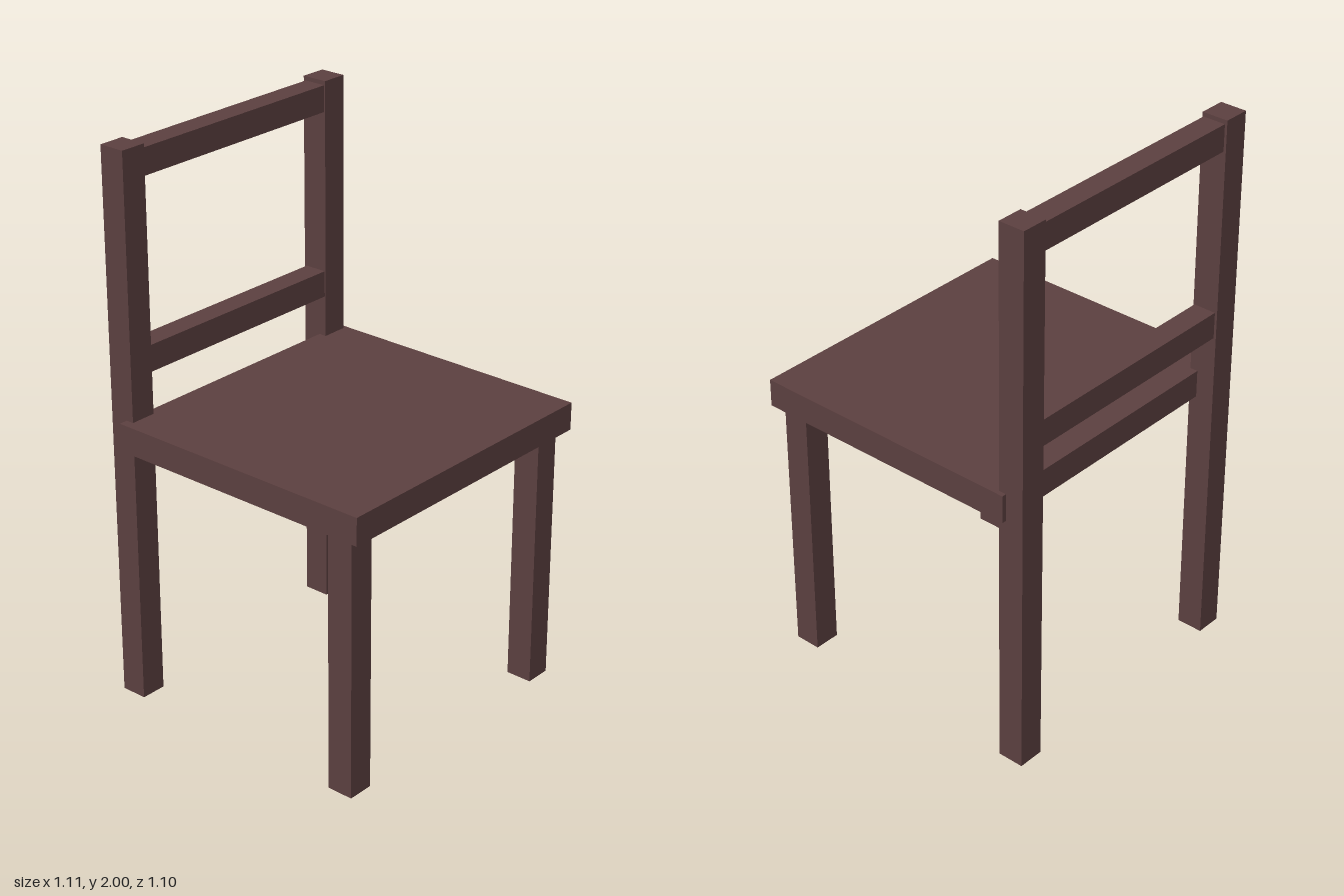
import * as THREE from 'three';

export function createModel() {
  const chair = new THREE.Group();
  chair.name = 'chair';
  const wood = new THREE.MeshStandardMaterial({ color: 0x5c4040, flatShading: true });

  // Box given by its extents along each axis
  function board(name, [x0, x1], [y0, y1], [z0, z1]) {
    const mesh = new THREE.Mesh(new THREE.BoxGeometry(x1 - x0, y1 - y0, z1 - z0), wood);
    mesh.position.set((x0 + x1) / 2, (y0 + y1) / 2, (z0 + z1) / 2);
    mesh.name = name;
    chair.add(mesh);
  }

  board('seat', [-0.555, 0.555], [0.957, 1.057], [-0.48, 0.548]);

  // Legs: the back pair continue up as the backrest posts
  const legSides = { right: [-0.523, -0.427], left: [0.442, 0.538] };
  for (const [side, x] of Object.entries(legSides)) {
    board(`${side}FrontLeg`, x, [0, 0.957], [0.403, 0.5]);
    board(`${side}BackPost`, x, [0, 2], [-0.548, -0.451]);
  }

  // Backrest rails between the posts
  board('topRail', [-0.427, 0.442], [1.89, 1.985], [-0.539, -0.455]);
  board('lowerRail', [-0.427, 0.442], [1.208, 1.304], [-0.539, -0.455]);

  return chair;
}
